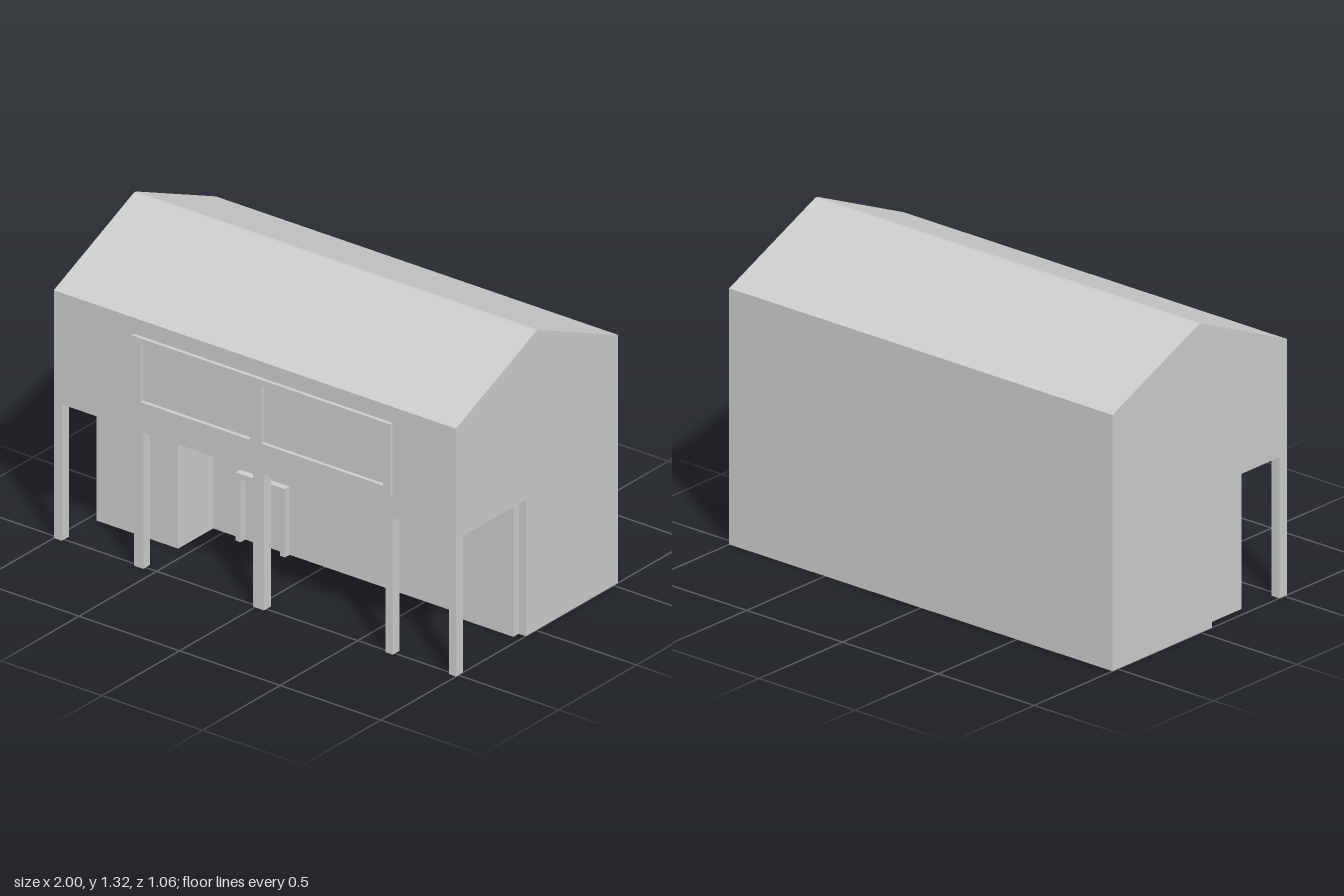
import * as THREE from 'three';

const material = new THREE.MeshStandardMaterial({ color: 0xcccccc, side: THREE.DoubleSide, flatShading: true });

const EAVE = 1.09, RIDGE = 1.315, STOREY = 0.6;
const FRONT = 0.515, BACK = -0.53, WALL = 0.065, BAY = 0.1;

function add(parent, name, geometry) {
  const mesh = new THREE.Mesh(geometry, material);
  mesh.name = name;
  parent.add(mesh);
  return mesh;
}

const shapeOf = (pts) => new THREE.Shape(pts.map(([x, y]) => new THREE.Vector2(x, y)));
const rect = (x0, x1, y0, y1) => [[x0, y0], [x1, y0], [x1, y1], [x0, y1]];

// Flat sheet in the xy plane, placed at depth z
const sheet = (pts, z) => new THREE.ShapeGeometry(shapeOf(pts)).translate(0, 0, z);

// Surface swept between two copies of a path, one made by a and one by b
function sweep(path, a, b) {
  const v = [];
  for (let i = 0; i + 1 < path.length; i++) {
    const p = a(path[i]), q = a(path[i + 1]), r = b(path[i + 1]), s = b(path[i]);
    v.push(...p, ...q, ...r, ...p, ...r, ...s);
  }
  const g = new THREE.BufferGeometry();
  g.setAttribute('position', new THREE.Float32BufferAttribute(v, 3));
  g.computeVertexNormals();
  return g;
}

// Upright wall following [x, z] points
const upright = (path, y0, y1) => sweep(path, ([x, z]) => [x, y0, z], ([x, z]) => [x, y1, z]);
// Sides following [x, y] points, running from z0 to z1
const sides = (path, z0, z1) => sweep(path, ([x, y]) => [x, y, z0], ([x, y]) => [x, y, z1]);
// Surface following [z, y] points along the whole length
const lengthwise = (path) => sweep(path, ([z, y]) => [-1, y, z], ([z, y]) => [1, y, z]);

export function createModel() {
  const house = new THREE.Group();
  house.name = 'house';

  // Roof with a narrow flat ridge, gables, back wall, upper front and porch ceiling
  const roofLine = [[FRONT, EAVE], [0, RIDGE], [-0.015, RIDGE], [BACK, EAVE]];
  add(house, 'roof', lengthwise(roofLine));
  add(house, 'backWall', lengthwise([[BACK, 0], [BACK, EAVE]]));
  add(house, 'upperFrontWall', lengthwise([[FRONT, STOREY], [FRONT, EAVE]]));
  add(house, 'porchCeiling', lengthwise([[WALL, STOREY], [FRONT, STOREY]]));
  const gable = [[BACK, 0], [WALL, 0], [WALL, STOREY], [FRONT, STOREY], ...roofLine];
  for (const [name, x] of [['rightGable', -1], ['leftGable', 1]]) {
    add(house, name, sheet(gable, 0).rotateY(-Math.PI / 2)).position.x = x;
  }

  // Recessed ground floor: projecting room on one side, shallow bay on the other
  add(house, 'projectingRoom', upright(
    [[-1, WALL], [-0.96, WALL], [-0.96, 0.29], [-0.555, 0.29], [-0.555, WALL]], 0, STOREY));
  add(house, 'shallowBay', upright(
    [[0.65, WALL], [0.65, BAY], [0.965, BAY], [0.965, WALL], [1, WALL]], 0, STOREY));

  // Entrance wall with a doorway, hollow door frame and door
  const outer = [[-0.42, 0], [-0.42, 0.3], [-0.175, 0.3], [-0.175, 0]];
  const inner = [[-0.395, 0], [-0.395, 0.275], [-0.2, 0.275], [-0.2, 0]];
  add(house, 'entranceWall', sheet(
    [[-0.555, 0], ...outer, [0.65, 0], [0.65, STOREY], [-0.555, STOREY]], WALL));
  const door = new THREE.Group();
  door.name = 'door';
  house.add(door);
  add(door, 'doorFrameFace', sheet([...outer, ...inner.slice().reverse()], 0.095));
  add(door, 'doorFrameOuterSides', sides(outer, WALL, 0.095));
  add(door, 'doorFrameInnerSides', sides(inner, WALL, 0.095));
  add(door, 'doorPanel', sheet(inner, WALL));

  // Window surround with two panes set back in it
  const surround = shapeOf(rect(-0.6, 0.685, 0.7, 1.02));
  for (const [x0, x1] of [[-0.555, -0.01], [0.045, 0.65]]) {
    surround.holes.push(shapeOf(rect(x0, x1, 0.74, 0.995)));
  }
  add(house, 'windowSurround', new THREE.ExtrudeGeometry(surround, { depth: 0.017, bevelEnabled: false }))
    .position.z = FRONT;

  // Hollow porch posts
  for (const [x0, x1] of [[-1, -0.96], [-0.6, -0.555], [-0.01, 0.045], [0.65, 0.685], [0.965, 1]]) {
    const ring = rect(x0, x1, 0.47, FRONT);
    add(house, 'porchPost', upright([...ring, ring[0]], 0, STOREY));
  }
  return house;
}
